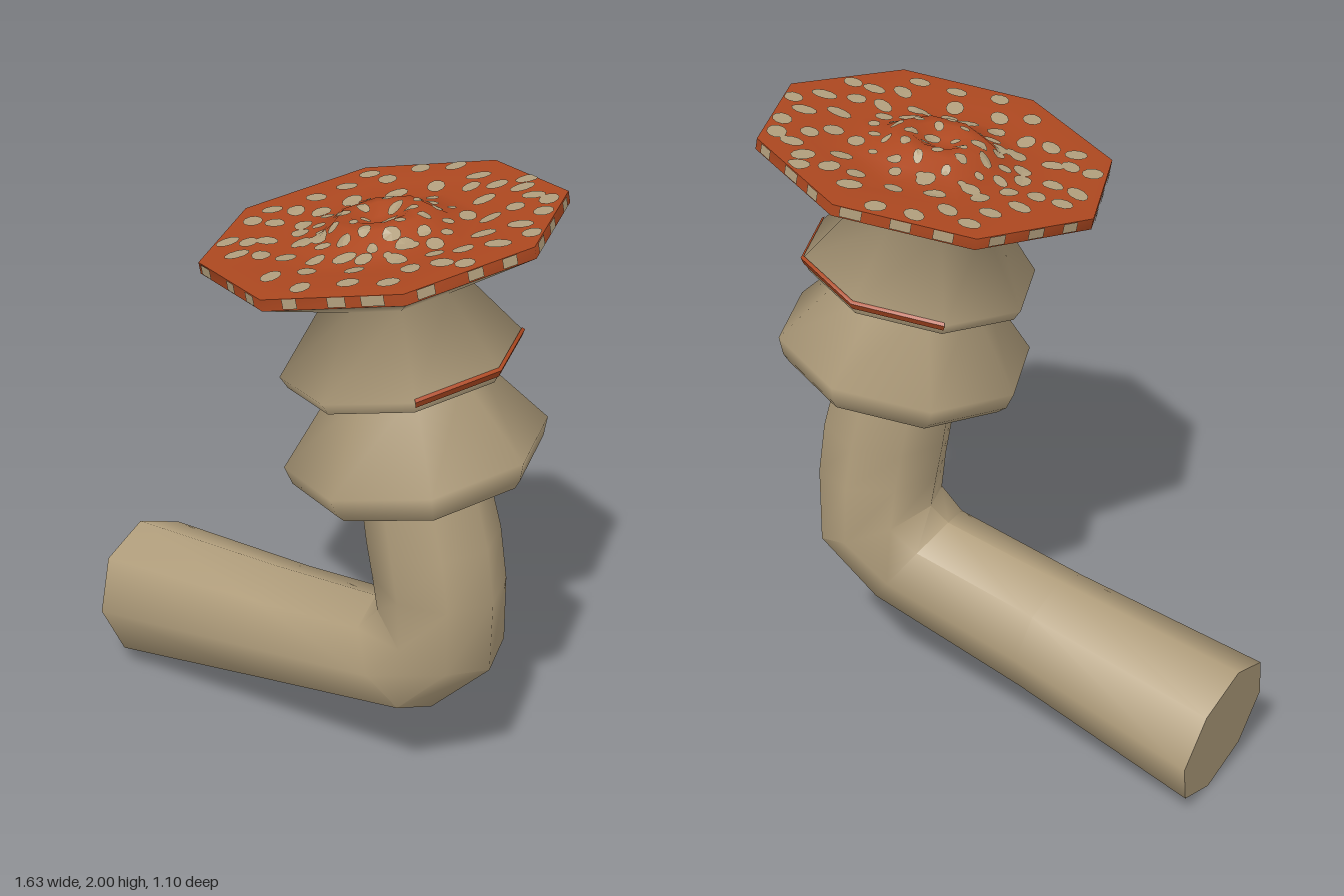
import * as THREE from 'three';
import { toCreasedNormals } from 'three/addons/utils/BufferGeometryUtils.js';

const SIDES = 8;
const STEP = (Math.PI * 2) / SIDES;
const V = (a) => new THREE.Vector3(...a);
const SIDEWAYS = V([-0.24, 0, 0.97]).normalize();
const UP = [-0.18, 1, 0.04]; // tilt of the skirts and cap
const CAP = V([0.285, 1.905, 0.02]);
const CAP_RADIUS = 0.545;

// Axes of a cross-section whose plane faces along t
function frame(t) {
  const n = V(t).normalize();
  const v = SIDEWAYS.clone().addScaledVector(n, -SIDEWAYS.dot(n)).normalize();
  return { n, v, u: n.clone().cross(v) };
}

function ringPoint(centre, f, r, k) {
  return centre.clone()
    .addScaledVector(f.u, r * Math.cos(k * STEP))
    .addScaledVector(f.v, r * Math.sin(k * STEP));
}

function geometryFrom(points, crease) {
  const g = new THREE.BufferGeometry().setFromPoints(points);
  g.computeVertexNormals();
  return crease ? toCreasedNormals(g, crease) : g;
}

// Octagonal skin through sections [centre, radius, direction]
function loft(sections, crease = 0.9, from = 0, to = SIDES) {
  const pts = [];
  const rings = sections.map(([c, r, t = UP]) => {
    const f = frame(t), ring = [];
    for (let k = from; k <= to; k++) {
      ring.push(ringPoint(V(c), f, r, to - from === SIDES ? k % SIDES : k));
    }
    return ring;
  });
  for (let i = 0; i + 1 < rings.length; i++) {
    const a = rings[i], b = rings[i + 1];
    for (let j = 0; j + 1 < a.length; j++) {
      if (sections[i][1] > 0) pts.push(a[j], b[j], a[j + 1]);
      if (sections[i + 1][1] > 0) pts.push(a[j + 1], b[j], b[j + 1]);
    }
  }
  return geometryFrom(pts, crease);
}

// Cap top: [radius, height] from the rim over the dish and hump to the dimple
const CAP_TOP = [
  [CAP_RADIUS, 0], [0.38, 0], [0.29, -0.014], [0.19, 0.004],
  [0.14, 0.042], [0.09, 0.046], [0.04, 0.02], [0, 0.012],
];

function capHeight(a, b) {
  const r = Math.hypot(a, b), ang = Math.atan2(b, a);
  let R = 0;
  for (let k = 0; k < SIDES; k++) {
    R = Math.max(R, (r * Math.cos(ang - (k + 0.5) * STEP)) / Math.cos(STEP / 2));
  }
  for (let i = 0; i + 1 < CAP_TOP.length; i++) {
    const [r0, h0] = CAP_TOP[i], [r1, h1] = CAP_TOP[i + 1];
    if (R >= r1) return { R, h: h0 + ((h1 - h0) * (r0 - Math.min(R, r0))) / (r0 - r1) };
  }
  return { R, h: 0 };
}

// Larger spots, x and z in hundredths
const SPOTS = [
  2, -28, 13, -34, 31, -45, 42, -37, 51, -30, 59, -35, 31, -30, 20, -25, -4, -19, 8, -19,
  12, -16, 25, -19, 51, -20, 60, -28, 66, -22, 72, -19, 64, -13, 74, -10, 51, -8, 59, -6,
  -14, -9, -6, -9, 2, -10, -16, 0, -8, 1, 1, 0, -4, 14, 3, 6, -9, 16, 7, 14,
  -16, 16, 0, 25, 8, 25, -8, 25, 18, 26, 27, 25, 11, 40, 20, 35, 24, 47, 34, 33,
  37, 43, 49, 42, 33, 25, 43, 24, 51, 32, 53, 20, 61, 18, 70, 14, 62, 6, 71, 0,
  77, 6, 66, 28, 59, 28, 50, 13, 42, 16, 13, 13, 20, -43, 5, -38, 43, -29,
];

function spotsGeometry() {
  let seed = 7;
  const rand = () => (seed = (seed * 16807) % 2147483647) / 2147483647;
  rand();
  const f = frame(UP), pts = [], limit = CAP_RADIUS - 0.004;
  const place = (a, b) => {
    let s = capHeight(a, b);
    if (s.R > limit) {
      a *= limit / s.R;
      b *= limit / s.R;
      s = capHeight(a, b);
    }
    return CAP.clone().addScaledVector(f.u, a).addScaledVector(f.v, b).addScaledVector(f.n, s.h + 0.005);
  };
  const spot = (a, b, size) => {
    const turn = rand() * Math.PI, long = size * (1 + 0.3 * rand()), wide = size * 0.9;
    const edge = (i) => {
      const p = Math.cos((i * Math.PI) / 5) * long, q = Math.sin((i * Math.PI) / 5) * wide;
      return place(a + p * Math.cos(turn) - q * Math.sin(turn), b + p * Math.sin(turn) + q * Math.cos(turn));
    };
    for (let i = 0; i < 10; i++) pts.push(place(a, b), edge(i + 1), edge(i));
  };
  for (let i = 0; i < SPOTS.length; i += 2) {
    const dx = SPOTS[i] / 100 - CAP.x, dz = SPOTS[i + 1] / 100 - CAP.z;
    spot(0.97 * dx + 0.24 * dz, -0.24 * dx + 0.97 * dz, 0.025 + 0.018 * Math.hypot(dx, dz));
  }
  // Small spots crowding the middle
  for (let i = 0; i < 40; i++) {
    const r = 0.24 * Math.sqrt((i + 0.5) / 40), ang = i * 2.4;
    spot(r * Math.cos(ang), r * Math.sin(ang), 0.014 + 0.009 * rand());
  }
  // Patches on the rim's edge
  for (let k = 0; k < SIDES; k++) {
    const c0 = ringPoint(CAP, f, CAP_RADIUS + 0.004, k), c1 = ringPoint(CAP, f, CAP_RADIUS + 0.004, k + 1);
    for (const at of [0.1, 0.4, 0.72]) {
      const start = at + 0.08 * rand(), end = start + 0.1 + 0.06 * rand();
      const a1 = c0.clone().lerp(c1, start), a2 = c0.clone().lerp(c1, end);
      const b1 = a1.clone().addScaledVector(f.n, -0.03), b2 = a2.clone().addScaledVector(f.n, -0.03);
      pts.push(b1, a1, b2, b2, a1, a2);
    }
  }
  return geometryFrom(pts);
}

export function createModel() {
  const model = new THREE.Group();
  model.name = 'bentMushroom';
  const mat = (name, color) => {
    const m = new THREE.MeshStandardMaterial({ color });
    m.name = name;
    return m;
  };
  const beige = mat('beige flesh', 0xb29f7d);
  const orange = mat('orange skin', 0xad4820);
  const add = (name, geometry, material) => {
    const mesh = new THREE.Mesh(geometry, material);
    mesh.name = name;
    model.add(mesh);
  };

  // Bent stem, lying at the foot and rising into the skirts
  const along = [0.95, 0.18, 0.25];
  add('stem', loft([
    [[-0.74, 0.238, -0.32], 0, along],
    [[-0.74, 0.238, -0.32], 0.24, along],
    [[-0.12, 0.36, -0.14], 0.202, along],
    [[0.37, 0.465, -0.005], 0.197, [0.8, 0.6, 0.15]],
    [[0.495, 0.6, -0.005], 0.212, [0.41, 0.91, 0.08]],
    [[0.495, 0.78, 0.018], 0.207, [0.05, 1, 0.02]],
    [[0.472, 0.93, 0.02], 0.207, [-0.1, 1, 0]],
    [[0.415, 1.2, 0.02], 0.19],
    [[0.405, 1.28, 0.02], 0.18],
  ]), beige);

  // Two flared skirts with hollow undersides; the outer skins blend softly
  const lowerEdge = [[0.42, 1.145, 0.02], 0.36];
  add('lowerSkirtUnderside', loft([
    [[0.405, 1.265, 0.02], 0.17],
    [[0.412, 1.195, 0.02], 0.325],
    [[0.419, 1.148, 0.02], 0.342],
    lowerEdge,
  ]), beige);
  add('lowerSkirt', loft([
    lowerEdge,
    [[0.413, 1.172, 0.02], 0.384],
    [[0.405, 1.23, 0.02], 0.403],
    [[0.37, 1.47, 0.02], 0.21],
    [[0.36, 1.53, 0.02], 0.215],
    [[0.352, 1.492, 0.02], 0.32],
  ], 2), beige);
  const lip = [[0.354, 1.473, 0.02], 0.345];
  const brim = [[0.351, 1.512, 0.02], 0.367];
  const neck = [[0.32, 1.725, 0.015], 0.205];
  add('upperSkirtLip', loft([[[0.352, 1.492, 0.02], 0.32], lip]), beige);

  // Upper skirt runs through the neck into the cap's funnel underside
  const n = frame(UP).n;
  const capSection = (r, h) => [CAP.clone().addScaledVector(n, h).toArray(), r];
  const capEdge = capSection(CAP_RADIUS, -0.035);
  add('upperSkirtAndFunnel', loft([lip, brim, neck, capEdge], 2), beige);

  // Thin stain along one side of the upper skirt's brim
  add('skirtEdgeStain', loft([
    [[0.353, 1.494, 0.02], 0.361],
    [[0.351, 1.514, 0.02], 0.372],
    [[0.349, 1.522, 0.02], 0.364],
  ], 0.9, -3, 1), orange);

  // Painted cap and its spots
  add('capTop', loft([capEdge, ...CAP_TOP.map(([r, h]) => capSection(r, h))]), orange);
  add('capSpots', spotsGeometry(), beige);

  return model;
}
